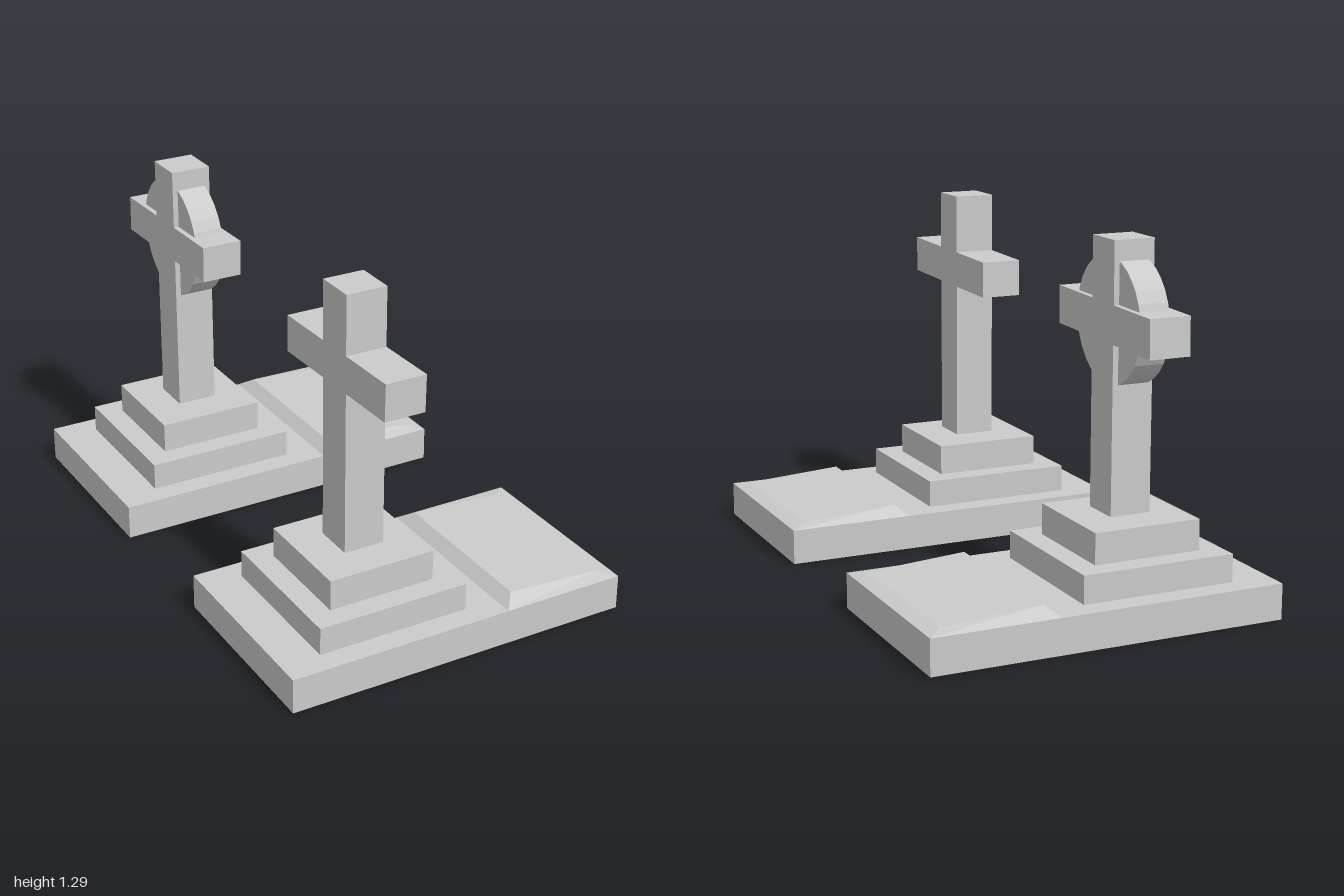
import * as THREE from 'three';

const material = new THREE.MeshStandardMaterial({ color: 0xcccccc, flatShading: true });

function add(group, name, geometry, x = 0, y = 0, z = 0) {
  const mesh = new THREE.Mesh(geometry, material);
  mesh.name = name;
  mesh.position.set(x, y, z);
  group.add(mesh);
}

// Box given by its x range, y range and depth, centred on z
function block(group, name, x0, x1, y0, y1, depth) {
  add(group, name, new THREE.BoxGeometry(x1 - x0, y1 - y0, depth), (x0 + x1) / 2, (y0 + y1) / 2);
}

// Cross outline with slightly tilted arms, extruded along x
function crossGeometry(thickness) {
  const s = 0.075, arm = 0.32, tilt = 0.021;
  const top = u => 1.073 - tilt * u, bottom = u => 0.939 - tilt * u;
  const shape = new THREE.Shape([
    [-s, 0.346], [s, 0.346], [s, bottom(s)], [arm, bottom(arm)],
    [arm - 0.003, top(arm)], [s, top(s)], [s, 1.288], [-s, 1.288],
    [-s, top(-s)], [-arm, top(-arm)], [-arm + 0.003, bottom(-arm)], [-s, bottom(-s)],
  ].map(([u, v]) => new THREE.Vector2(u, v)));
  const geometry = new THREE.ExtrudeGeometry(shape, { depth: thickness, bevelEnabled: false });
  geometry.translate(0, 0, -thickness / 2);
  return geometry.rotateY(Math.PI / 2);
}

// Bevelled cover slab whose top slopes down towards the foot
function slabGeometry() {
  const geometry = new THREE.BoxGeometry(1, 1, 1);
  const p = geometry.attributes.position;
  for (let i = 0; i < p.count; i++) {
    const foot = p.getX(i) > 0, upper = p.getY(i) > 0, side = Math.sign(p.getZ(i));
    if (upper) p.setXYZ(i, foot ? 0.59 : 0.228, foot ? 0.139 : 0.163, side * 0.31);
    else p.setXYZ(i, foot ? 0.646 : 0.185, 0.128, side * 0.363);
  }
  geometry.computeVertexNormals();
  return geometry;
}

function createGrave(name, z, withDisc) {
  const grave = new THREE.Group();
  grave.name = name;
  grave.position.z = z;
  block(grave, 'base', -0.647, 0.647, 0, 0.128, 0.727);
  block(grave, 'lowerStep', -0.5, 0.065, 0.128, 0.228, 0.56);
  block(grave, 'upperStep', -0.416, -0.018, 0.228, 0.339, 0.396);
  add(grave, 'coverSlab', slabGeometry());
  add(grave, 'cross', crossGeometry(0.15), -0.216);
  if (withDisc) {
    const disc = new THREE.CylinderGeometry(0.222, 0.222, 0.11, 32).rotateZ(Math.PI / 2);
    add(grave, 'disc', disc, -0.216, 1.008);
  }
  return grave;
}

export function createModel() {
  const model = new THREE.Group();
  model.name = 'graves';
  model.add(createGrave('plainGrave', 0.6365, false));
  model.add(createGrave('discGrave', -0.6365, true));
  return model;
}
